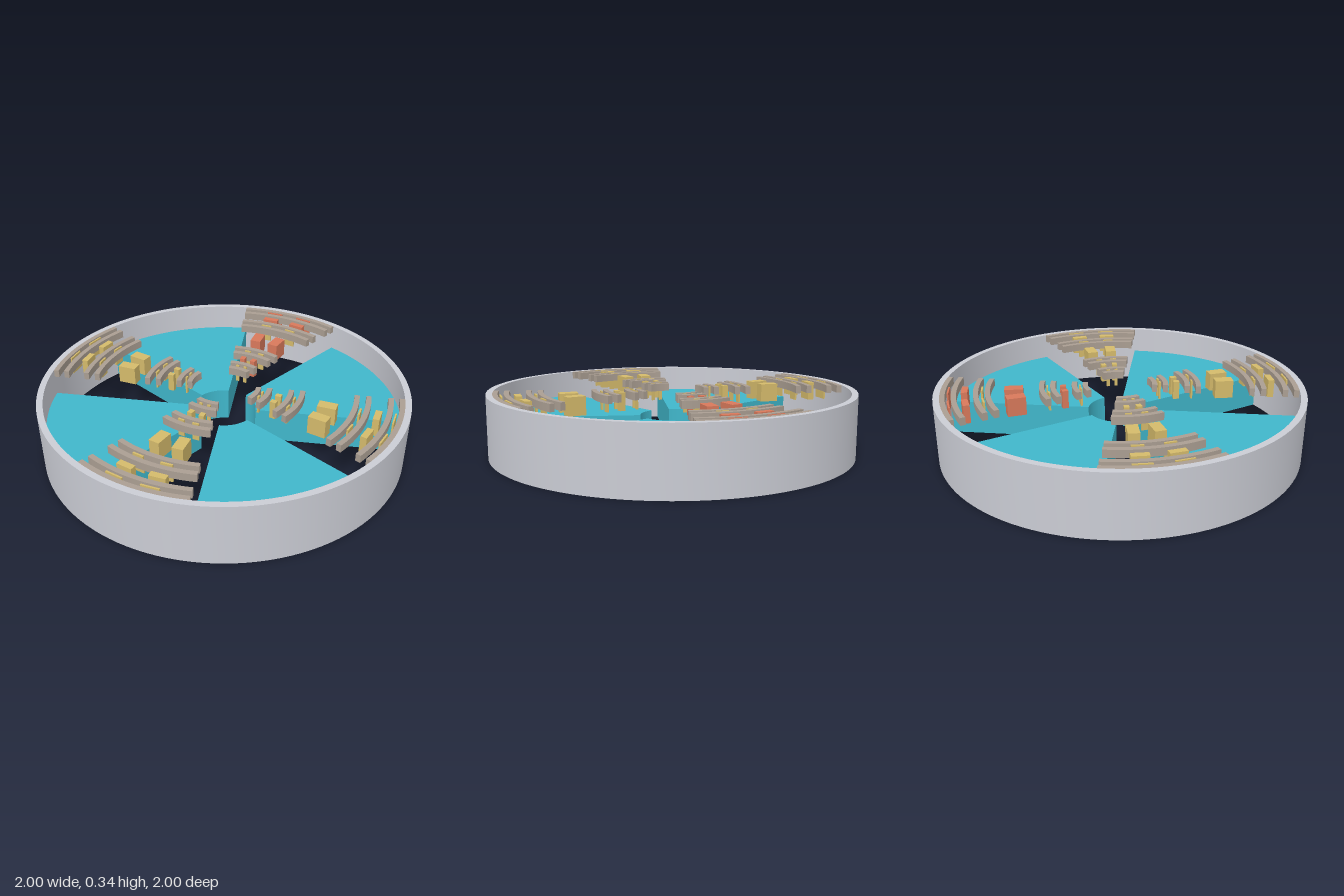
import * as THREE from 'three';
import { toCreasedNormals } from 'three/addons/utils/BufferGeometryUtils.js';

const RIM_INNER = 0.966, TOP = 0.34;
const rad = THREE.MathUtils.degToRad;

function material(name, color) {
  const m = new THREE.MeshStandardMaterial({ color });
  m.name = name;
  return m;
}

// Ring sector between two radii and two angles (degrees), from y0 up to y1
function sector(r0, r1, a0, a1, y0, y1) {
  const s = new THREE.Shape();
  s.absarc(0, 0, r1, rad(a0), rad(a1), false);
  s.absarc(0, 0, r0, rad(a1), rad(a0), true);
  s.closePath();
  const g = new THREE.ExtrudeGeometry(s, { depth: y1 - y0, bevelEnabled: false, curveSegments: 18 });
  g.rotateX(-Math.PI / 2).translate(0, y0, 0);
  return toCreasedNormals(g, 0.5);
}

export function createModel() {
  const model = new THREE.Group();
  model.name = 'segmentedRing';
  const grey = material('light grey', 0xcaccd4);
  const teal = material('teal', 0x40b6ca);
  const taupe = material('taupe', 0xaa9e92);
  const gold = material('gold', 0xd4ba6b);
  const coral = material('coral', 0xd8795b);

  const add = (parent, name, geometry, mat) => {
    const mesh = new THREE.Mesh(geometry, mat);
    mesh.name = name;
    parent.add(mesh);
    return mesh;
  };

  // Outer rim
  const profile = [[RIM_INNER, 0], [1, 0], [1, TOP], [RIM_INNER, TOP], [RIM_INNER, 0]]
    .map(([x, y]) => new THREE.Vector2(x, y));
  add(model, 'outerRim', toCreasedNormals(new THREE.LatheGeometry(profile, 120), 0.5), grey);

  // Curved rails, by centre radius
  const rails = [0.19, 0.25, 0.367, 0.428, 0.716, 0.778, 0.893, 0.952];
  // Blocks: radius, radial size, tangential size, coral in the marked sector
  const blocks = [
    [0.22, 0.01, 0.018, false],
    [0.311, 0.033, 0.028, true],
    [0.397, 0.009, 0.035, false],
    [0.577, 0.1, 0.06, true],
    [0.746, 0.01, 0.062, false],
    [0.838, 0.034, 0.088, true],
    [0.924, 0.009, 0.096, true],
  ];

  for (let q = 0; q < 4; q++) {
    const quarter = new THREE.Group();
    quarter.name = 'quarter' + (q + 1);
    quarter.rotation.y = q * Math.PI / 2;
    model.add(quarter);

    // Solid wedge
    add(quarter, 'wedge', sector(0.176, RIM_INNER, 36, 90, 0, 0.19), teal);

    // Rails in the open sector
    for (const r of rails) {
      add(quarter, 'rail', sector(r - 0.014, r + 0.014, 0, 36, 0.298, TOP), taupe);
    }

    // Two rows of blocks between the rails
    for (const [r, radial, tangential, marked] of blocks) {
      for (const angle of [12, 24]) {
        const block = add(quarter, 'block', new THREE.BoxGeometry(radial, 0.1, tangential),
          marked && q === 0 ? coral : gold);
        const a = rad(angle);
        block.position.set(r * Math.cos(a), TOP - 0.05, -r * Math.sin(a));
        block.rotation.y = a;
      }
    }
  }
  return model;
}
